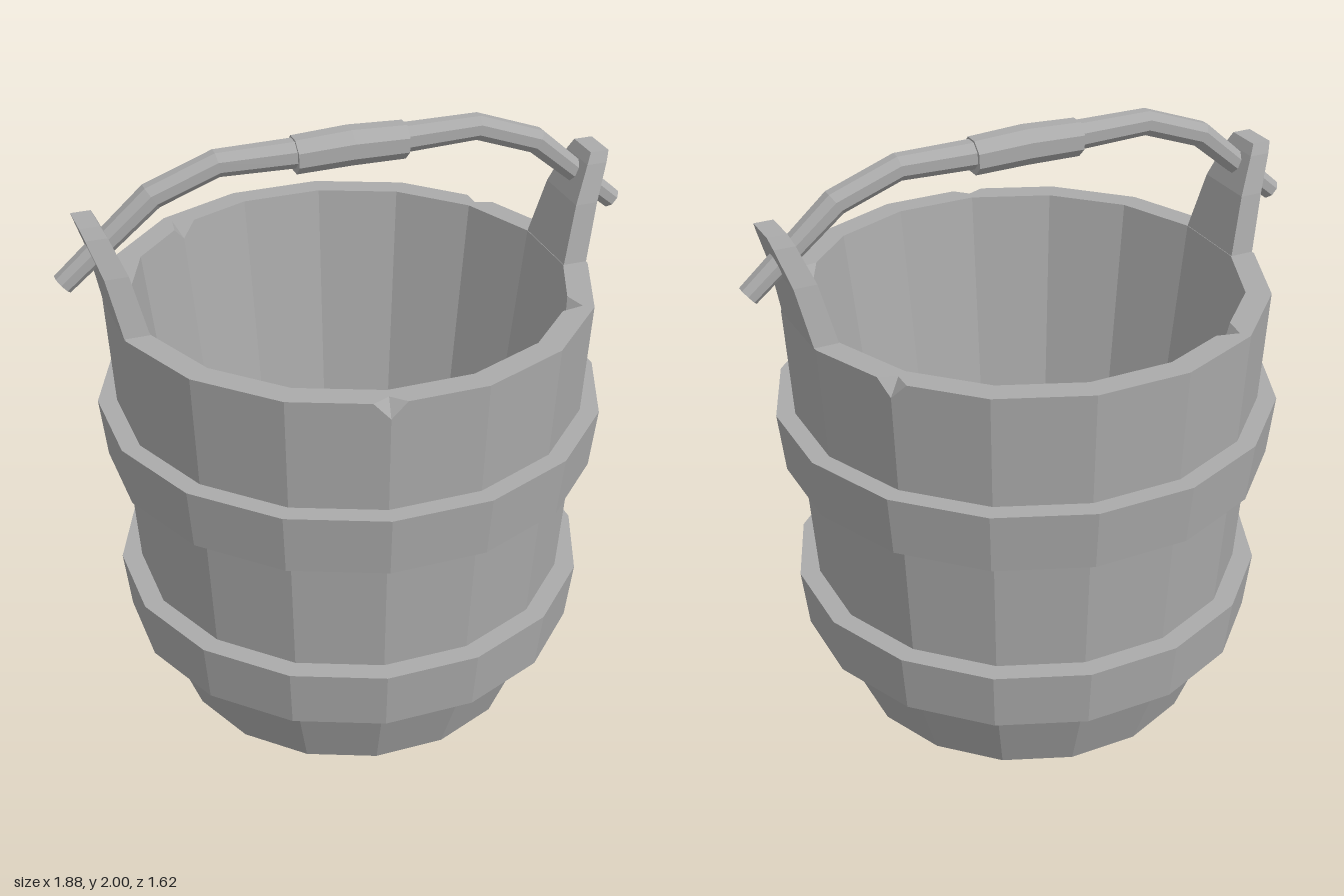
import * as THREE from 'three';

const V = (x, y, z) => new THREE.Vector3(x, y, z);
const SIDES = 16;

// Adds a convex polygon (counter-clockwise from its front) as a triangle fan.
function poly(out, pts) {
  for (let i = 1; i < pts.length - 1; i++) {
    for (const p of [pts[0], pts[i], pts[i + 1]]) out.push(p.x, p.y, p.z);
  }
}

// Joins successive rings of points with quads, optionally capping the ends.
function loft(out, rings, capStart, capEnd) {
  for (let k = 0; k < rings.length - 1; k++) {
    const a = rings[k], b = rings[k + 1], n = a.length;
    for (let i = 0; i < n; i++) {
      const j = (i + 1) % n;
      poly(out, [a[i], a[j], b[j], b[i]]);
    }
  }
  if (capStart) poly(out, [...rings[0]].reverse());
  if (capEnd) poly(out, rings[rings.length - 1]);
}

function makeMesh(name, out, material) {
  const geo = new THREE.BufferGeometry();
  geo.setAttribute('position', new THREE.Float32BufferAttribute(out, 3));
  geo.computeVertexNormals();
  const mesh = new THREE.Mesh(geo, material);
  mesh.name = name;
  return mesh;
}

// Horizontal polygon with a flat side facing each axis.
function ring(radius, y) {
  return Array.from({ length: SIDES }, (_, i) => {
    const a = ((i + 0.5) / SIDES) * Math.PI * 2;
    return V(radius * Math.sin(a), y, radius * Math.cos(a));
  });
}

// Points around a corner where a small chip is cut out of the rim.
function chipCorner(top, below, across, i, chipped) {
  const p = top[i];
  const toward = (q, d) => p.clone().add(q.clone().sub(p).setLength(d));
  if (!chipped) return { before: [p], after: [p], down: [p], flat: [p] };
  return {
    before: [toward(top[(i + SIDES - 1) % SIDES], 0.052)],
    after: [toward(top[(i + 1) % SIDES], 0.052)],
    down: [toward(below[i], 0.052)],
    flat: [toward(across[i], 0.045)],
    chipped: true,
  };
}

function buildBucket(material) {
  const out = [];
  const base = ring(0.596, 0), knee = ring(0.703, 0.28), upper = ring(0.763, 1.1);
  const rimOut = ring(0.785, 1.48), rimIn = ring(0.703, 1.48);
  const innerLow = ring(0.53, 0.12);
  loft(out, [base, knee, upper], true, false);
  poly(out, innerLow);

  // Rim and the walls below it, with chipped corners
  const outerChips = [15, 5], innerChips = [9, 2];
  const O = rimOut.map((_, i) => chipCorner(rimOut, upper, rimIn, i, outerChips.includes(i)));
  const I = rimIn.map((_, i) => chipCorner(rimIn, innerLow, rimOut, i, innerChips.includes(i)));
  const start = (c) => (c.chipped ? [c.after[0], c.down[0]] : c.down);
  const end = (c) => (c.chipped ? [c.down[0], c.before[0]] : c.down);
  for (let i = 0; i < SIDES; i++) {
    const j = (i + 1) % SIDES;
    poly(out, [upper[i], upper[j], ...end(O[j]), ...start(O[i])]);
    poly(out, [innerLow[j], innerLow[i], ...start(I[i]).reverse(), ...end(I[j]).reverse()]);
    const rim = [];
    rim.push(...(O[i].chipped ? [O[i].flat[0], O[i].after[0]] : O[i].flat));
    rim.push(...(O[j].chipped ? [O[j].before[0], O[j].flat[0]] : O[j].flat));
    rim.push(...(I[j].chipped ? [I[j].flat[0], I[j].before[0]] : I[j].flat));
    rim.push(...(I[i].chipped ? [I[i].after[0], I[i].flat[0]] : I[i].flat));
    poly(out, rim);
    for (const [c, inner] of [[O[i], false], [I[i], true]]) {
      if (!c.chipped) continue;
      const A = c.before[0], B = c.after[0], C = c.down[0], D = c.flat[0];
      poly(out, inner ? [A, D, C] : [A, C, D]);
      poly(out, inner ? [B, C, D] : [B, D, C]);
    }
  }
  return makeMesh('bucketBody', out, material);
}

// Flared hoop wrapped around the staves
function buildHoop(name, y0, y1, r0, r1, inner, material) {
  const out = [];
  loft(out, [ring(inner, y0), ring(r0, y0), ring(r1, y1), ring(inner, y1)], false, false);
  return makeMesh(name, out, material);
}

// Tapered upright that carries one end of the handle
function buildEar(name, material) {
  const out = [];
  const levels = [ // y, inner x, outer x, half depth
    [1.475, 0.69, 0.77, 0.14],
    [1.67, 0.737, 0.812, 0.108],
    [1.79, 0.785, 0.853, 0.075],
    [1.825, 0.802, 0.865, 0.06],
  ];
  loft(out, levels.map(([y, a, b, z]) => [V(a, y, z), V(b, y, z), V(b, y, -z), V(a, y, -z)]), true, true);
  return makeMesh(name, out, material);
}

// Eight-sided bar swept along points [x, y, radius] in the xy plane
function buildBar(name, path, material) {
  const out = [], zAxis = V(0, 0, 1);
  const rings = path.map(([x, y, r], k) => {
    const p = path[Math.max(k - 1, 0)], q = path[Math.min(k + 1, path.length - 1)];
    const side = V(q[0] - p[0], q[1] - p[1], 0).normalize().cross(zAxis);
    return Array.from({ length: 8 }, (_, i) => {
      const a = ((i + 0.5) / 8) * Math.PI * 2;
      return V(x, y, 0).addScaledVector(zAxis, r * Math.cos(a)).addScaledVector(side, r * Math.sin(a));
    });
  });
  loft(out, rings, true, true);
  return makeMesh(name, out, material);
}

export function createModel() {
  const grey = new THREE.MeshStandardMaterial({ color: 0xaaaaaa });
  grey.name = 'plain grey';
  const group = new THREE.Group();
  group.name = 'bucket';

  group.add(buildBucket(grey));
  group.add(buildHoop('lowerHoop', 0.283, 0.485, 0.762, 0.785, 0.69, grey));
  group.add(buildHoop('upperHoop', 0.903, 1.105, 0.803, 0.825, 0.735, grey));

  const leftEar = buildEar('leftEar', grey);
  const rightEar = buildEar('rightEar', grey);
  rightEar.rotation.y = Math.PI;
  group.add(leftEar, rightEar);

  // Arched handle and its thicker grip
  const half = [[-0.918, 1.625, 0.035], [-0.63, 1.87, 0.043], [-0.425, 1.945, 0.043], [-0.18, 1.942, 0.047]];
  const mirrored = half.map(([x, y, r]) => [-x, y, r]).reverse();
  group.add(buildBar('handle', [...half, ...mirrored], grey));
  group.add(buildBar('handleGrip', [[-0.18, 1.936, 0.06], [0, 1.942, 0.063], [0.18, 1.936, 0.06]], grey));
  return group;
}
